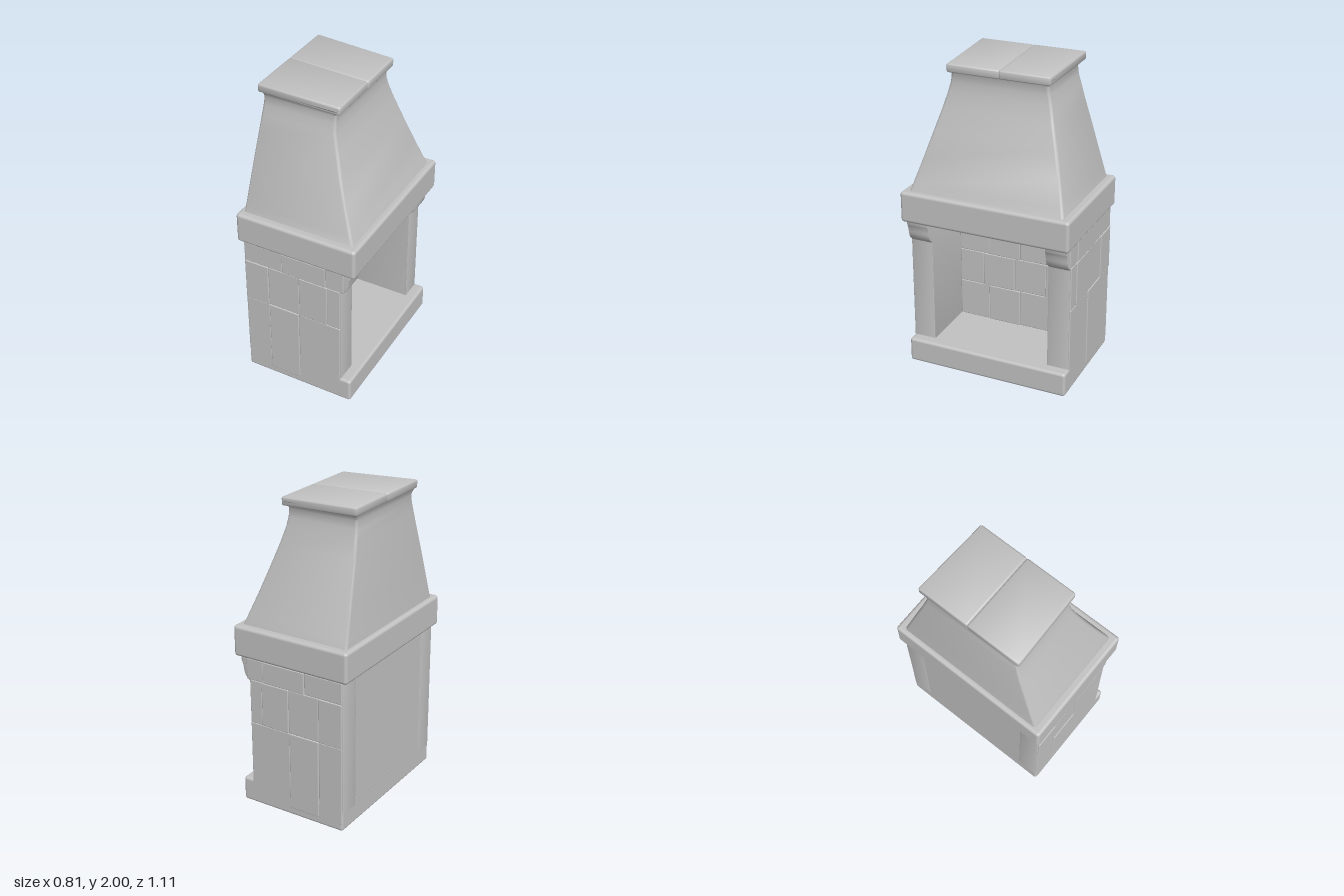
import * as THREE from 'three';
import { RoundedBoxGeometry } from 'three/addons/geometries/RoundedBoxGeometry.js';
import { toCreasedNormals } from 'three/addons/utils/BufferGeometryUtils.js';

export function createModel() {
  const model = new THREE.Group();
  model.name = 'fireplace';
  const stone = new THREE.MeshStandardMaterial({ color: 0xc2c2c2 });
  stone.name = 'light grey stone';

  const add = (name, geometry) => {
    const mesh = new THREE.Mesh(geometry, stone);
    mesh.name = name;
    model.add(mesh);
    return mesh;
  };
  // Rounded block given by its lower and upper corners
  const block = (name, [x0, y0, z0], [x1, y1, z1], r = 0.015) => {
    const g = new RoundedBoxGeometry(x1 - x0, y1 - y0, z1 - z0, 3, r);
    g.translate((x0 + x1) / 2, (y0 + y1) / 2, (z0 + z1) / 2);
    return add(name, g);
  };

  // Plinth, mantel and rear wall; the hearth opens towards +x
  block('hearthBase', [-0.37, 0, -0.54], [0.37, 0.16, 0.54], 0.018);
  block('mantel', [-0.405, 1.0, -0.555], [0.4, 1.2, 0.555], 0.02);
  block('rearWall', [-0.37, 0.14, -0.53], [-0.085, 1.02, 0.53], 0.006);

  // Side walls with a corbel under the mantel
  const profile = new THREE.Shape();
  profile.moveTo(-0.364, 0.13);
  profile.lineTo(0.294, 0.13);
  profile.lineTo(0.294, 0.85);
  profile.quadraticCurveTo(0.33, 0.87, 0.338, 0.91);
  profile.quadraticCurveTo(0.342, 0.95, 0.355, 0.975);
  profile.lineTo(0.355, 1.02);
  profile.lineTo(-0.364, 1.02);
  for (const side of [-1, 1]) {
    const g = new THREE.ExtrudeGeometry(profile, {
      depth: 0.128, bevelThickness: 0.008, bevelSize: 0.008, bevelSegments: 2, curveSegments: 6,
    });
    g.translate(0, 0, side * 0.462 - 0.064);
    add(side > 0 ? 'leftSideWall' : 'rightSideWall', toCreasedNormals(g, 0.7));
  }

  // Shallow masonry relief: outer faces of the side walls
  const courses = [
    [0.05, 0.57, [-0.365, -0.2, 0.01, 0.298]],
    [0.57, 0.86, [-0.365, -0.2, 0.015, 0.21, 0.298]],
    [0.86, 1.0, [-0.365, -0.1, 0.2, 0.32]],
  ];
  for (const side of [-1, 1]) {
    courses.forEach(([y0, y1, xs], row) => {
      for (let i = 0; i < xs.length - 1; i++) {
        const out = side * (0.54 + ((row + i) % 2) * 0.004);
        const inner = side * 0.515;
        block('sideStone', [xs[i], y0, Math.min(out, inner)], [xs[i + 1], y1, Math.max(out, inner)], 0.006);
      }
    });
  }
  // Masonry relief on the back of the firebox
  const rows = [0.16, 0.41, 0.64, 0.85, 1.0];
  for (let r = 0; r < 4; r++) {
    const cuts = r % 2 ? [-0.39, -0.22, 0.0, 0.22, 0.39] : [-0.39, -0.04, 0.18, 0.39];
    for (let i = 0; i < cuts.length - 1; i++) {
      const face = -0.08 + ((r + i) % 2) * 0.006;
      block('fireboxStone', [-0.11, rows[r], cuts[i]], [face, rows[r + 1], cuts[i + 1]], 0.006);
    }
  }

  // Tapering hood lofted through rounded rectangles: [y, xMin, xMax, half depth]
  const sections = [
    [1.18, -0.376, 0.37, 0.512], [1.25, -0.37, 0.342, 0.492], [1.4, -0.361, 0.286, 0.449],
    [1.55, -0.351, 0.234, 0.407], [1.7, -0.34, 0.186, 0.363], [1.8, -0.332, 0.157, 0.337],
    [1.86, -0.327, 0.15, 0.321], [1.91, -0.324, 0.15, 0.315],
    [1.935, -0.329, 0.16, 0.325], [1.955, -0.338, 0.174, 0.342],
  ];
  const pos = [], idx = [], corner = 4, count = 4 * (corner + 1), radius = 0.018;
  for (const [y, x0, x1, d] of sections) {
    for (let q = 0; q < 4; q++) {
      const cx = q === 0 || q === 3 ? x1 - radius : x0 + radius;
      const cz = q < 2 ? d - radius : radius - d;
      for (let k = 0; k <= corner; k++) {
        const a = (q + k / corner) * Math.PI / 2;
        pos.push(cx + radius * Math.cos(a), y, cz + radius * Math.sin(a));
      }
    }
  }
  for (let s = 0; s < sections.length - 1; s++) {
    for (let i = 0; i < count; i++) {
      const a = s * count + i, b = s * count + (i + 1) % count;
      idx.push(a, a + count, b, b, a + count, b + count);
    }
  }
  const hood = new THREE.BufferGeometry();
  hood.setAttribute('position', new THREE.Float32BufferAttribute(pos, 3));
  hood.setIndex(idx);
  add('hood', toCreasedNormals(hood, 0.6));

  // Cap made of two slabs, falling slightly towards +x
  for (const [z0, z1] of [[-0.355, -0.01], [-0.01, 0.347]]) {
    const cap = block('capSlab', [-0.343, 1.946, z0], [0.182, 2.0, z1], 0.012);
    const p = cap.geometry.attributes.position;
    for (let i = 0; i < p.count; i++) {
      const t = (p.getX(i) + 0.343) / 0.525;
      p.setY(i, p.getY(i) - 0.022 * t);
      // The slabs are a little narrower on the +x side
      if (Math.abs(p.getZ(i)) > 0.25) p.setZ(i, p.getZ(i) * (1 - 0.05 * t));
    }
    cap.geometry.computeVertexNormals();
    cap.geometry = toCreasedNormals(cap.geometry, 0.6);
  }
  return model;
}
